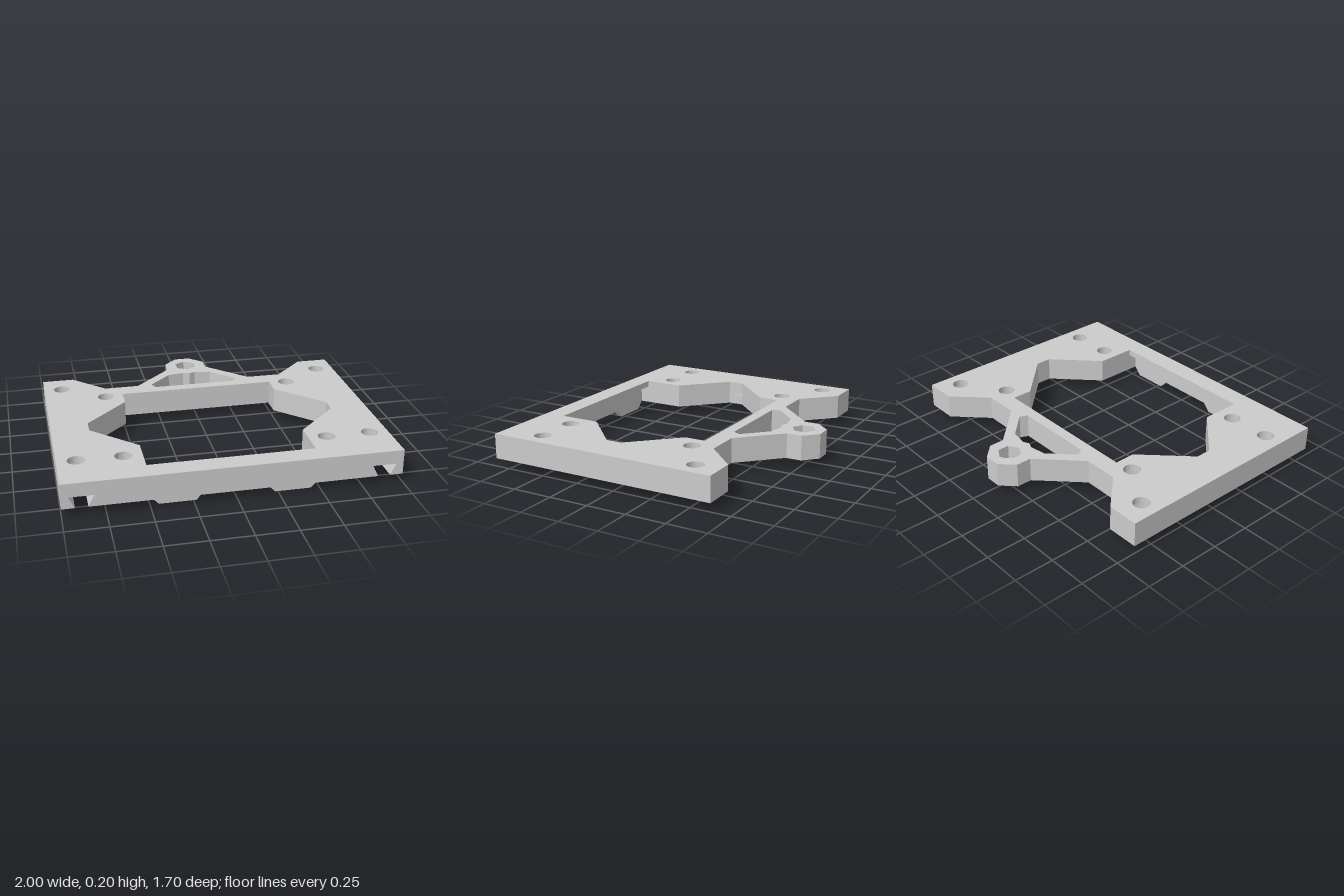
import * as THREE from 'three';
import { toCreasedNormals } from 'three/addons/utils/BufferGeometryUtils.js';

const material = new THREE.MeshStandardMaterial({ color: 0xcccccc });

// Plan points are [x, z]; shapes are drawn with -z as their upward axis.
const toVec = (pts) => pts.map(([x, z]) => new THREE.Vector2(x, -z));
const mirrorX = (pts) => [...pts, ...[...pts].reverse().map(([x, z]) => [-x, z])];
const circle = (x, z, r) => new THREE.Path().absarc(x, -z, r, 0, Math.PI * 2);

// Plan outlines, right half from front to back
const halfOutline = [
  [1, 0.845], [1, -0.625], [0.8, -0.625], [0.6, -0.425], [0.38, -0.425],
  [0.135, -0.67], [0.135, -0.765], [0.05, -0.85],
];
const opening = (frontZ) => mirrorX([
  [0.5, frontZ], [0.5, 0.46], [0.77, 0.195], [0.77, 0.095], [0.5, -0.18], [0.5, -0.31],
]);
const braceWindow = [
  ...mirrorX([[0.265, -0.38], [0.288, -0.428], [0.145, -0.57], [0.04, -0.588]]),
];
braceWindow.splice(4, 0, [0, -0.57]);

const boltX = [0.885, 0.613];
const boltZ = [0.575, -0.47, -0.29];
const nutZ = -0.72;
const slot = { x: 0.885, low: 0.037, high: 0.072, end: -0.35, z: 0.575, r: 0.092 };

// Dovetail slot in plan, joined with the front counterbore it runs through
function slotPath() {
  const { low, r, z, end } = slot;
  const d = Math.sqrt(r * r - low * low);
  const side = [[low, 0.845], [low, z + d]];
  const t0 = Math.asin(0.076 / r);
  for (let i = 0; i <= 12; i++) {
    const t = t0 + ((Math.PI - 2 * t0) * i) / 12;
    side.push([r * Math.sin(t), z + r * Math.cos(t)]);
  }
  side.push([low, z - d], [low, end]);
  return [...side.map(([x, zz]) => [-x, zz]), ...side.reverse()];
}

// One horizontal slice of the plate; topRule moves the points of its upper edge
function layer({ y0, y1, frontZ, boltR, slotted, nutPocket, topRule }) {
  let outline = mirrorX(halfOutline);
  if (slotted) {
    for (const s of [-1, 1]) outline.push(...slotPath().map(([x, z]) => [x + s * slot.x, z]));
  }
  const shape = new THREE.Shape(toVec(outline));
  const addHole = (pts) => shape.holes.push(new THREE.Path(toVec(pts)));
  addHole(opening(frontZ));
  addHole(braceWindow);

  // Bolt holes: outer and inner column on both sides
  for (const s of [-1, 1]) {
    if (!slotted) shape.holes.push(circle(s * boltX[0], boltZ[0], boltR));
    shape.holes.push(circle(s * boltX[0], boltZ[1], boltR));
    shape.holes.push(circle(s * boltX[1], boltZ[0], boltR));
    shape.holes.push(circle(s * boltX[1], boltZ[2], boltR));
  }

  // Hexagonal nut pocket above, screw hole below
  if (nutPocket) {
    addHole([0, 1, 2, 3, 4, 5].map((i) => {
      const a = (i * Math.PI) / 3;
      return [0.073 * Math.sin(a), nutZ + 0.073 * Math.cos(a)];
    }));
  } else shape.holes.push(circle(0, nutZ, 0.041));

  const geo = new THREE.ExtrudeGeometry(shape, {
    depth: y1 - y0, bevelEnabled: false, curveSegments: 32,
  });
  geo.rotateX(-Math.PI / 2).translate(0, y0, 0);
  if (topRule) {
    const p = geo.attributes.position;
    for (let i = 0; i < p.count; i++) {
      if (p.getY(i) < y1 - 1e-4) continue;
      const [x, z] = topRule(p.getX(i), p.getZ(i));
      p.setX(i, x);
      p.setZ(i, z);
    }
  }
  return toCreasedNormals(geo, 0.5);
}

// Widens the dovetail toward its roof
function widenSlot(x, z) {
  const s = Math.sign(x);
  const dx = x - s * slot.x;
  if (Math.abs(dx) > slot.low + 5e-4 || z < slot.end - 0.01) return [x, z];
  const dz = z - slot.z;
  if (Math.abs(dz) < slot.r) z = slot.z + Math.sign(dz) * Math.sqrt(slot.r ** 2 - slot.high ** 2);
  return [s * slot.x + (dx * slot.high) / slot.low, z];
}

// Slopes the recess at the front of the opening up to the lip
const slopeToLip = (x, z) => [x, Math.abs(z - 0.775) < 1e-3 && Math.abs(x) < 0.51 ? 0.715 : z];

export function createModel() {
  const model = new THREE.Group();
  const add = (name, geo, parent = model) => {
    const mesh = new THREE.Mesh(geo, material);
    mesh.name = name;
    parent.add(mesh);
    return mesh;
  };

  // Mounting plate, built from stacked slices
  const plate = new THREE.Group();
  plate.name = 'mountingPlate';
  model.add(plate);
  const wide = { frontZ: 0.775, boltR: slot.r };
  add('dovetailSlice', layer({ ...wide, y0: 0.05, y1: 0.12, slotted: true, topRule: widenSlot }), plate);
  add('counterboreSlice', layer({ ...wide, y0: 0.12, y1: 0.14, nutPocket: true }), plate);
  add('recessSlice', layer({ ...wide, y0: 0.14, y1: 0.165, nutPocket: true, topRule: slopeToLip }), plate);
  add('topSlice', layer({ y0: 0.165, y1: 0.205, frontZ: 0.715, boltR: 0.052, nutPocket: true }), plate);

  // Two tapered tabs below the front rail
  for (const s of [-1, 1]) {
    const tab = new THREE.Shape([[-0.155, 0.05], [-0.108, 0], [0.108, 0], [0.155, 0.05]]
      .map(([x, y]) => new THREE.Vector2(x + s * 0.341, y)));
    const geo = new THREE.ExtrudeGeometry(tab, { depth: 0.035, bevelEnabled: false });
    add(s > 0 ? 'leftTab' : 'rightTab', geo.translate(0, 0, 0.775));
  }
  return model;
}
